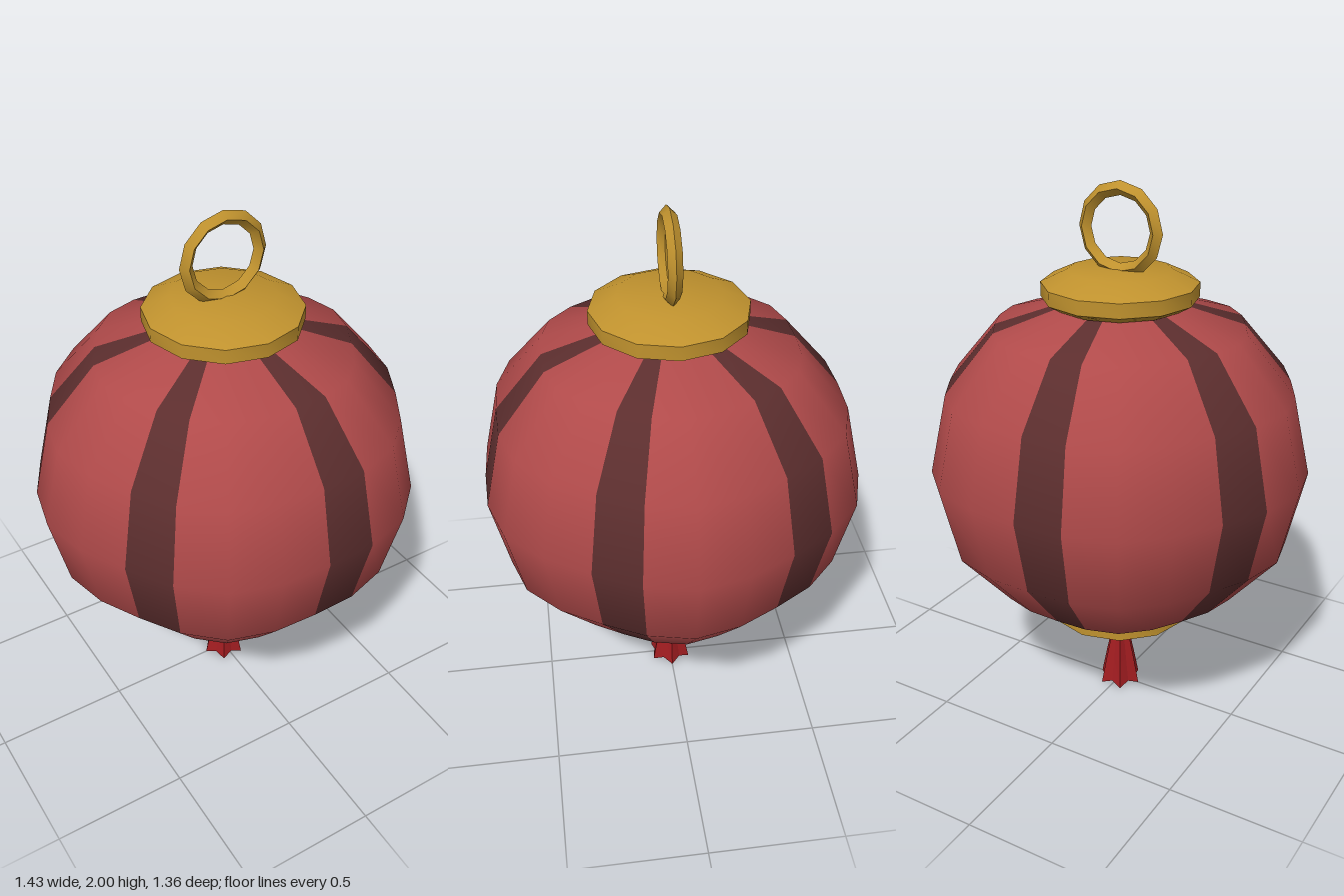
import * as THREE from 'three';
import { toCreasedNormals } from 'three/addons/utils/BufferGeometryUtils.js';

const material = (name, color, extra = {}) => new THREE.MeshStandardMaterial({ name, color, ...extra });

const lathe = (profile, sides) =>
  new THREE.LatheGeometry(profile.map(([r, y]) => new THREE.Vector2(r, y)), sides);

// Six soft lobes around the y axis; a lobe points along +x.
function addLobes(geometry, depth, lift = () => 0) {
  const p = geometry.attributes.position;
  for (let i = 0; i < p.count; i++) {
    const x = p.getX(i), y = p.getY(i), z = p.getZ(i);
    const wave = -Math.cos(6 * Math.atan2(x, z));
    const k = 1 + depth * wave;
    p.setXYZ(i, x * k, y + lift(y, wave), z * k);
  }
  geometry.computeVertexNormals();
  return geometry;
}

// Average the normals where the first and last columns of a lathe meet.
function joinSeam(geometry, rows) {
  const n = geometry.attributes.normal;
  const a = new THREE.Vector3(), b = new THREE.Vector3();
  for (let j = 0; j < rows; j++) {
    const last = n.count - rows + j;
    a.fromBufferAttribute(n, j).add(b.fromBufferAttribute(n, last)).normalize();
    n.setXYZ(j, a.x, a.y, a.z);
    n.setXYZ(last, a.x, a.y, a.z);
  }
}

export function createModel() {
  const model = new THREE.Group();
  model.name = 'paperLantern';
  const red = material('paper red', 0xb04a4a);
  const dark = material('stripe brown', 0x5c2e2e);
  const gold = material('gold', 0xc0922e);
  const crimson = material('tassel crimson', 0xa01c20, { flatShading: true });

  const add = (name, geometry, mat) => {
    const mesh = new THREE.Mesh(geometry, mat);
    mesh.name = name;
    model.add(mesh);
    return mesh;
  };

  // Globe: 24 panels, every fourth one a dark stripe
  const profile = [];
  for (let i = -3; i <= 3; i++) {
    const a = i * Math.PI / 6;
    profile.push([0.215 + 0.4825 * Math.cos(a), 1 + 0.572 * Math.sin(a)]);
  }
  const globe = addLobes(lathe(profile, 24), 0.025);
  joinSeam(globe, profile.length);
  const perPanel = 6 * (profile.length - 1);
  for (let i = 0; i < 24; i++) globe.addGroup(i * perPanel, perPanel, i % 4 === 0 ? 1 : 0);
  add('globe', globe, [red, dark]);

  // Caps: the lower one mirrors the upper
  const cap = [[0, 1.572], [0.235, 1.572], [0.28, 1.598], [0.28, 1.65], [0.185, 1.695], [0, 1.697]];
  const lowerCap = cap.map(([r, y]) => [r, 2.003 - y]).reverse();
  add('topCap', toCreasedNormals(lathe(cap, 12), 0.7), gold);
  add('bottomCap', toCreasedNormals(lathe(lowerCap, 12), 0.7), gold);

  // Hanging ring with a diamond section
  const ring = add('hangingRing', toCreasedNormals(new THREE.TorusGeometry(0.142, 0.025, 4, 12), 0.7), gold);
  ring.position.y = 1.833;

  // Bead above the tassel
  const bead = [[0, 0.215], [0.034, 0.215], [0.062, 0.255], [0.028, 0.31], [0, 0.31]];
  add('bead', toCreasedNormals(lathe(bead, 8), 0.8), gold);

  // Pleated tassel with a scalloped hem
  const skirt = [[0, 0.012], [0.075, 0.008], [0.055, 0.11], [0.033, 0.222], [0, 0.222]];
  const hem = (y, wave) => (y > 0.005 && y < 0.01 ? -0.008 * wave : 0);
  add('tassel', addLobes(lathe(skirt, 12), 0.13, hem), crimson);

  return model;
}
